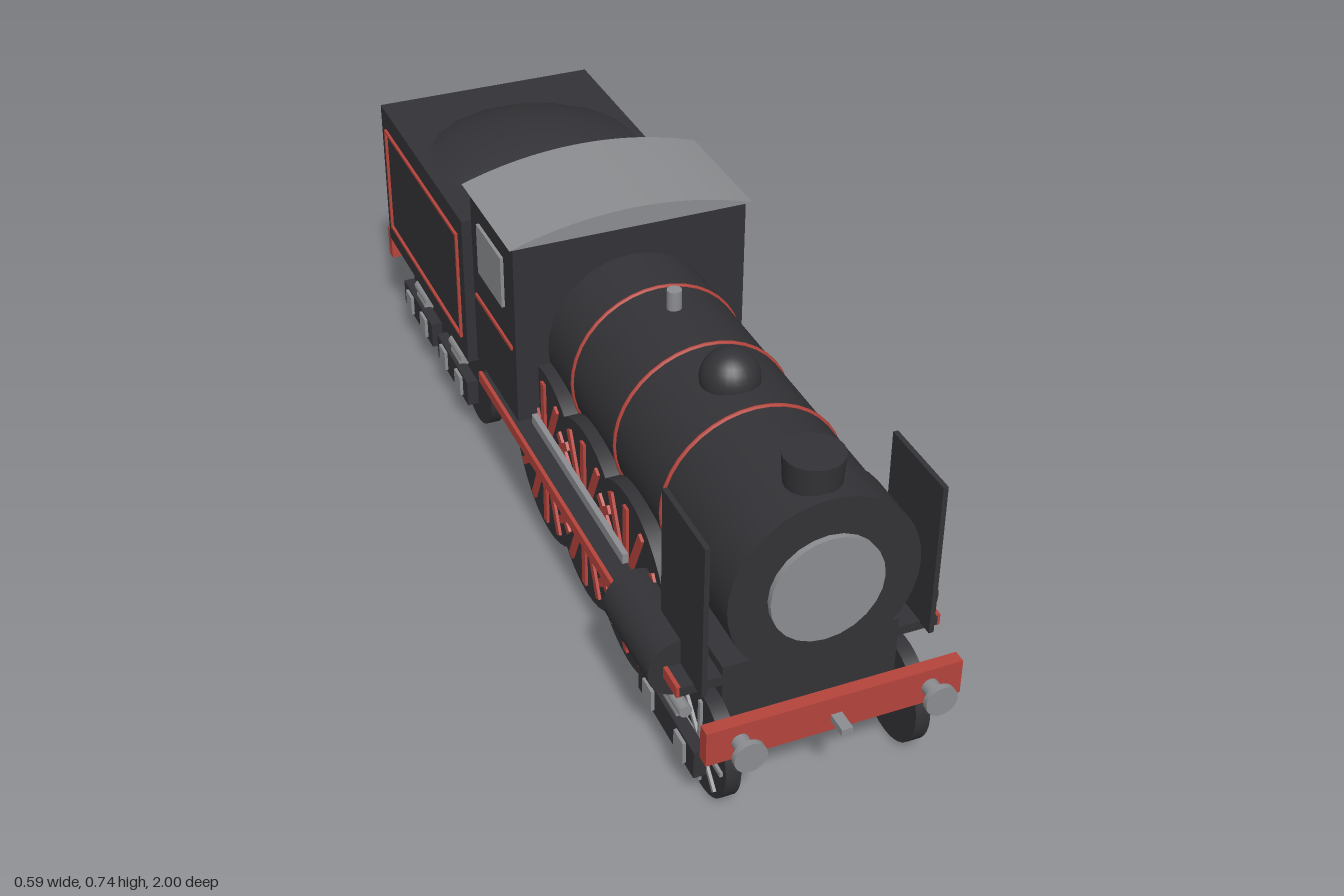
import * as THREE from 'three';

const mat = (name, color) => {
  const m = new THREE.MeshStandardMaterial({ color });
  m.name = name;
  return m;
};

export function createModel() {
  const root = new THREE.Group();
  root.name = 'steamLocomotive';
  const black = mat('paintBlack', 0x333337);
  const red = mat('signalRed', 0xb5443c);
  const grey = mat('steelGrey', 0x8c8d90);

  const add = (name, geo, material, x = 0, y = 0, z = 0, parent = root) => {
    const m = new THREE.Mesh(geo, material);
    m.name = name;
    m.position.set(x, y, z);
    parent.add(m);
  };
  // box given by its extents on each axis
  const box = (name, material, [x0, x1], [y0, y1], [z0, z1]) =>
    add(name, new THREE.BoxGeometry(Math.abs(x1 - x0), y1 - y0, Math.abs(z1 - z0)), material,
      (x0 + x1) / 2, (y0 + y1) / 2, (z0 + z1) / 2);
  // cylinder along a chosen axis
  const cyl = (name, material, axis, r, len, x, y, z, parent = root, seg = 24) => {
    const g = new THREE.CylinderGeometry(r, r, len, seg);
    if (axis === 'x') g.rotateZ(-Math.PI / 2);
    if (axis === 'z') g.rotateX(Math.PI / 2);
    add(name, g, material, x, y, z, parent);
  };
  const sides = [-1, 1];

  // Boiler, smokebox and fittings
  const by = 0.443;
  cyl('boiler', black, 'z', 0.182, 0.79, 0, by, 0.385, root, 40);
  cyl('smokebox', black, 'z', 0.187, 0.11, 0, by, 0.83, root, 40);
  cyl('smokeboxDoor', grey, 'z', 0.111, 0.014, 0, by, 0.89);
  for (const z of [0.585, 0.36, 0.135])
    add('boilerBand', new THREE.TorusGeometry(0.182, 0.005, 6, 40), red, 0, by, z);
  add('chimney', new THREE.CylinderGeometry(0.057, 0.051, 0.083, 24), black, 0, 0.6415, 0.815);
  add('steamDome', new THREE.SphereGeometry(0.058, 24, 16), black, 0, 0.625, 0.475);
  cyl('whistle', grey, 'y', 0.015, 0.055, 0, 0.638, 0.215, root, 12);

  // Frame, running boards and steam cylinders
  box('mainFrame', black, [-0.175, 0.175], [0.14, 0.225], [-0.23, 0.85]);
  box('saddle', black, [-0.175, 0.175], [0.225, 0.285], [-0.22, 0.85]);
  for (const s of sides) {
    box('runningBoard', black, [s * 0.17, s * 0.257], [0.245, 0.265], [-0.23, 0.85]);
    box('runningBoardEdge', red, [s * 0.255, s * 0.263], [0.243, 0.267], [-0.232, 0.849]);
    box('sideRod', grey, [s * 0.212, s * 0.224], [0.272, 0.294], [0, 0.5]);
    box('smokeDeflector', black, [s * 0.22, s * 0.23], [0.262, 0.59], [0.7, 0.883]);
    cyl('steamCylinder', black, 'z', 0.062, 0.215, s * 0.231, 0.256, 0.682, root, 28);
  }

  // Cab
  box('cab', black, [-0.252, 0.252], [0.28, 0.697], [-0.268, -0.005]);
  const roof = new THREE.Shape();
  roof.absarc(0, -0.082, 0.82, Math.PI / 2 - 0.325, Math.PI / 2 + 0.325, false);
  roof.closePath();
  add('cabRoof', new THREE.ExtrudeGeometry(roof, { depth: 0.297, bevelEnabled: false, curveSegments: 20 }),
    grey, 0, 0, -0.29);
  for (const s of sides) {
    box('cabWindow', grey, [s * 0.252, s * 0.259], [0.525, 0.64], [-0.214, -0.064]);
    box('cabStripe', red, [s * 0.252, s * 0.257], [0.446, 0.454], [-0.25, -0.022]);
  }

  // A wheel with optional raised spokes and hub on its outer face
  const wheel = (name, s, y, z, r, spokes, spokeMat, hubR) => {
    const g = new THREE.Group();
    g.name = name;
    g.position.set(s * 0.19, y, z);
    root.add(g);
    cyl('wheelDisc', black, 'x', r, 0.03, 0, 0, 0, g, 36);
    for (let i = 0; i < spokes; i++) {
      const len = r * 0.88;
      const geo = new THREE.BoxGeometry(0.008, len, r * 0.09);
      geo.translate(s * 0.017, len / 2, 0);
      geo.rotateX((i / spokes) * Math.PI * 2);
      add('spoke', geo, spokeMat, 0, 0, 0, g);
    }
    if (hubR) cyl('hub', grey, 'x', hubR, 0.012, s * 0.019, 0, 0, g, 16);
  };

  // Driving wheels
  for (const s of sides)
    for (const z of [0.477, 0.255, 0.03])
      wheel('drivingWheel', s, 0.21, z, 0.2, 14, red, 0.037);

  // Four-wheel bogies: two wheelsets, side bars, axle boxes and springs
  const bogie = (zs, r, spokes) => {
    const mid = (zs[0] + zs[1]) / 2;
    const half = Math.abs(zs[0] - zs[1]) / 2;
    for (const z of zs) cyl('axle', grey, 'x', 0.018, 0.36, 0, r, z, root, 12);
    for (const s of sides) {
      for (const z of zs) {
        wheel('bogieWheel', s, r, z, r, spokes, grey, 0);
        box('axleBox', grey, [s * 0.235, s * 0.251], [0.085, 0.132], [z - 0.021, z + 0.021]);
      }
      box('bogieSideBar', black, [s * 0.219, s * 0.244], [0.077, 0.138], [mid - half - 0.055, mid + half + 0.055]);
      for (const [y, w] of [[0.143, 0.06], [0.158, 0.09]])
        cyl('spring', grey, 'z', 0.013, w, s * 0.224, y, mid, root, 10);
    }
  };
  bogie([0.832, 0.685], 0.108, 8);
  bogie([-0.439, -0.55], 0.104, 0);
  bogie([-0.703, -0.812], 0.104, 0);

  // Tender with a shallow coal heap and red lining
  box('tenderBody', black, [-0.255, 0.255], [0.23, 0.584], [-0.927, -0.33]);
  box('tenderFrame', black, [-0.2, 0.2], [0.152, 0.23], [-0.925, -0.33]);
  const heap = new THREE.SphereGeometry(0.508, 18, 6, 0, Math.PI * 2, 0, 0.48);
  add('coalHeap', heap, black, 0, 0.137, -0.575);
  for (const s of sides) {
    const x = [s * 0.255, s * 0.261];
    for (const y of [0.28, 0.535])
      box('tenderLining', red, x, [y - 0.003, y + 0.003], [-0.889, -0.364]);
    for (const z of [-0.889, -0.364])
      box('tenderLining', red, x, [0.277, 0.538], [z - 0.003, z + 0.003]);
  }

  // Bumper beams, bumpers and coupling hooks at both ends
  for (const e of sides) {
    box('bumperBeam', red, [-0.252, 0.252], [0.17, 0.245], [e * 0.929, e * 0.955]);
    box('couplingHook', grey, [-0.011, 0.011], [0.193, 0.207], [e * 0.94, e * 0.998]);
    for (const s of sides) {
      cyl('bumperShank', grey, 'z', 0.017, 0.05, s * 0.187, 0.207, e * 0.965, root, 14);
      cyl('bumperHead', grey, 'z', 0.032, 0.012, s * 0.187, 0.207, e * 0.994, root, 20);
    }
  }
  return root;
}
